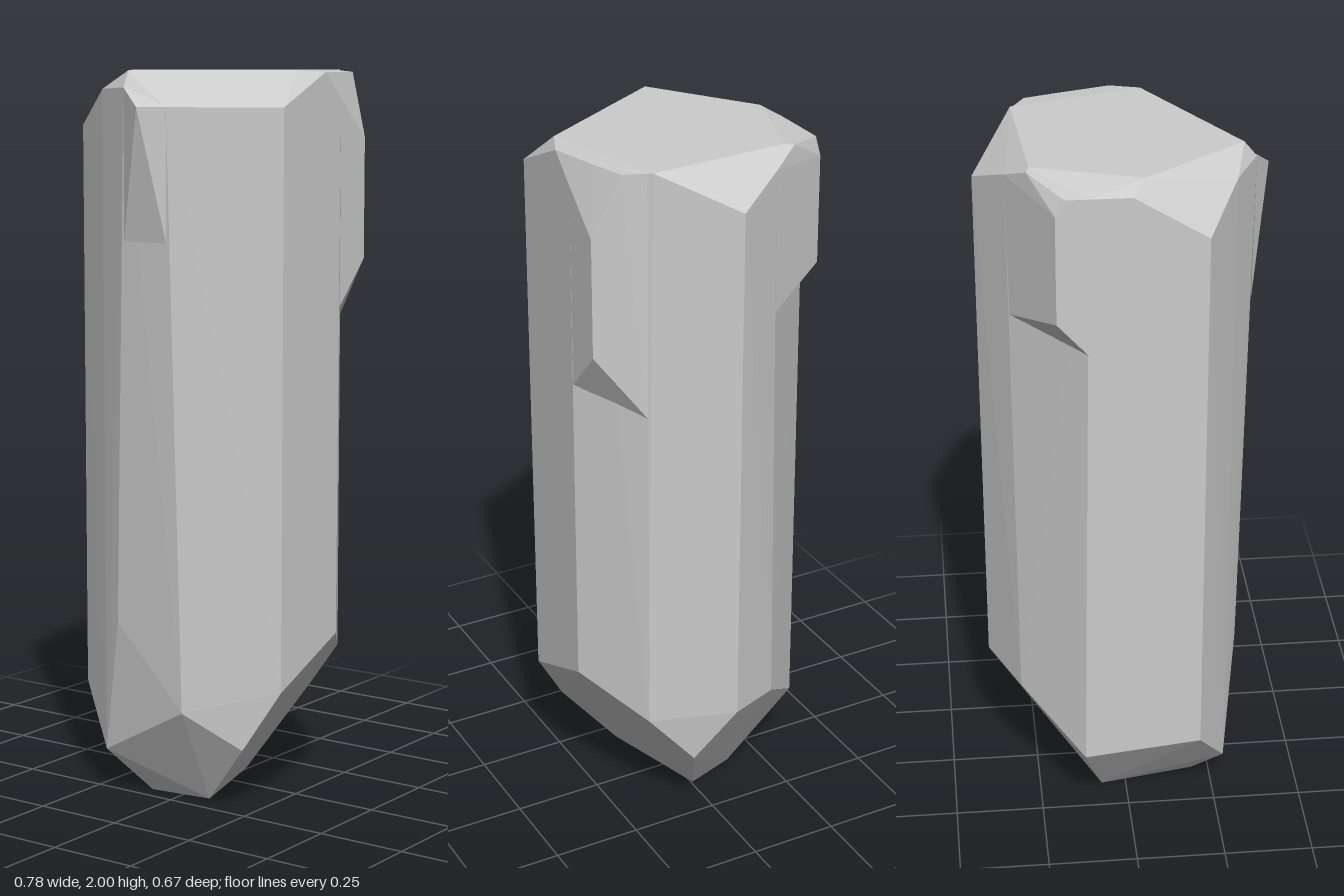
import * as THREE from 'three';
import { ConvexGeometry } from 'three/addons/geometries/ConvexGeometry.js';

const material = new THREE.MeshStandardMaterial({ color: 0xcccccc, flatShading: true });

// Faceted convex piece spanned by its corner points
function facetedPiece(name, corners) {
  const points = corners.map(([x, y, z]) => new THREE.Vector3(x, y, z));
  const mesh = new THREE.Mesh(new ConvexGeometry(points), material);
  mesh.name = name;
  return mesh;
}

export function createModel() {
  const group = new THREE.Group();
  group.name = 'crystal';

  // Flat cap on top
  const cap = [
    [-0.035, 2, -0.285], [0.25, 2, -0.195], [0.275, 2, 0.2],
    [-0.08, 2, 0.3], [-0.31, 2, -0.085],
  ];
  // Upper rim, where the shaft meets the chipped facets around the cap
  const rim = [
    [-0.195, 1.905, 0.335], [0, 1.995, 0.335], [0.075, 1.925, 0.335],
    [0.135, 1.995, 0.298], [0.265, 1.998, 0.21], [0.388, 1.895, 0],
    [0.31, 1.957, -0.135], [0.11, 1.97, -0.335], [0, 1.97, -0.335],
    [-0.195, 1.85, -0.335], [-0.28, 1.95, -0.198],
    [-0.345, 1.955, -0.075], [-0.35, 1.905, 0.068],
  ];
  // Lower rim, where the shaft starts to taper
  const lowerRim = [
    [-0.2, 0.345, 0.335], [0.068, 0.46, 0.335], [0.265, 0.37, 0.213],
    [0.31, 0.235, 0.095], [0.385, 0.405, 0], [0.3, 0.38, -0.16],
    [0.13, 0.235, -0.325], [-0.195, 0.28, -0.335],
    [-0.315, 0.5, -0.13], [-0.33, 0.28, 0.1],
  ];
  // Narrow tip underneath
  const tip = [
    [-0.245, 0.18, 0.24], [-0.28, 0.12, -0.2],
    [0.12, 0, -0.005], [0.07, 0, -0.15], [-0.2, 0, -0.1], [-0.19, 0.005, 0.09],
  ];
  group.add(facetedPiece('shaft', [...cap, ...rim, ...lowerRim, ...tip]));

  // Full corner above the front ledge
  group.add(facetedPiece('frontLedge', [
    [0.075, 1.365, 0.335], [0.265, 1.315, 0.21], [0.195, 1.49, 0.335],
    [0.195, 1.82, 0.335], [0.235, 1.995, 0.268], [0.075, 1.925, 0.335],
    [0.135, 1.995, 0.298], [0.265, 1.998, 0.21],
  ]));

  // Full corner above the back ledge
  group.add(facetedPiece('backLedge', [
    [0.31, 1.56, -0.135], [0.11, 1.53, -0.335], [0.195, 1.625, -0.335],
    [0.195, 1.925, -0.335], [0.17, 1.97, -0.335], [0.258, 1.996, -0.217],
    [0.11, 1.97, -0.335], [0.25, 2, -0.195], [0.31, 1.957, -0.135],
  ]));

  // Corner that flares out at the top of the right side
  group.add(facetedPiece('sideFlare', [
    [-0.388, 1.905, 0], [-0.35, 1.905, 0.068], [-0.345, 1.955, -0.075],
    [-0.35, 1.55, 0.068], [-0.34, 1.55, -0.08], [-0.34, 1.935, 0],
  ]));

  return group;
}
